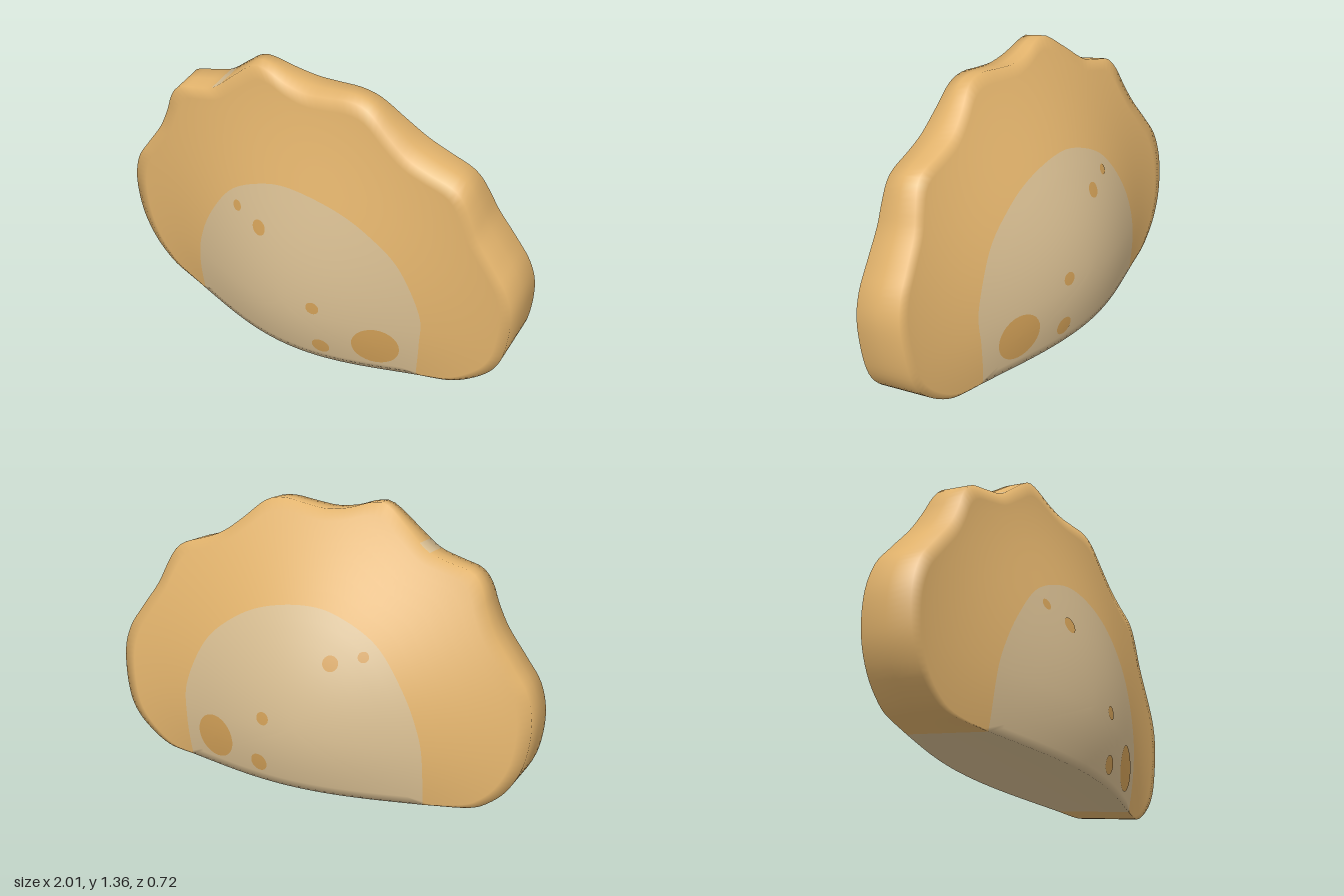
import * as THREE from 'three';
import { mergeVertices } from 'three/addons/utils/BufferGeometryUtils.js';

const mat = (name, color) => Object.assign(new THREE.MeshStandardMaterial({ color }), { name });
const BASE = 0.05, BASE_RIGHT = 0.6, BASE_LEFT = -0.56;

// Mid surface and half thickness of the body: thin rim plus a soft belly
const midZ = (y) => -0.026 - 0.162 * y + 0.069 * y * y;
function halfDepth(x, y) {
  const dy = (y - 0.32) / (y > 0.32 ? 1.22 : 1);
  const d = Math.min(1, Math.hypot(x / 1.05, dy));
  return 0.12 + 0.03 * y - 0.07 * y * y + 0.235 * 0.5 * (1 + Math.cos(Math.PI * d));
}
const surface = (x, y, side, lift = 0) =>
  new THREE.Vector3(x, y, midZ(y) + side * (halfDepth(x, y) + lift));

const spline = (pts) => new THREE.SplineCurve(pts.map(([x, y]) => new THREE.Vector2(x, y)));

// Crimped outline, from the right of the base over the top to the left
const outline = spline([
  [BASE_RIGHT, BASE], [0.75, 0.055], [0.87, 0.12], [0.95, 0.21], [0.985, 0.33], [0.995, 0.5],
  [0.965, 0.62], [0.9, 0.725], [0.82, 0.845], [0.78, 0.935], [0.74, 1.015], [0.69, 1.057],
  [0.58, 1.095], [0.49, 1.135], [0.4, 1.205], [0.3, 1.293], [0.21, 1.314], [0.1, 1.3],
  [0, 1.29], [-0.1, 1.305], [-0.2, 1.338], [-0.27, 1.334], [-0.37, 1.255], [-0.48, 1.165],
  [-0.58, 1.13], [-0.68, 1.1], [-0.73, 1.04], [-0.76, 0.955], [-0.81, 0.85],
  [-0.9, 0.725], [-0.97, 0.62], [-1, 0.48], [-0.98, 0.31], [-0.92, 0.18], [-0.84, 0.1],
  [-0.75, 0.06], [BASE_LEFT, BASE],
]);

// Edge of the pale belly
const bellyEdge = spline([
  [BASE_RIGHT, BASE], [0.615, 0.25], [0.61, 0.42], [0.51, 0.64], [0.37, 0.77], [0.21, 0.85],
  [0.01, 0.885], [-0.15, 0.86], [-0.33, 0.76], [-0.46, 0.58], [-0.535, 0.4],
  [-0.56, 0.25], [BASE_LEFT, BASE],
]);

function bodyGeometry() {
  const UPPER = 140, LOWER = 28, BAND = 2;
  const outer = outline.getSpacedPoints(UPPER);
  const inner = bellyEdge.getSpacedPoints(UPPER);
  for (let i = 1; i <= LOWER; i++) {
    const p = new THREE.Vector2(THREE.MathUtils.lerp(BASE_LEFT, BASE_RIGHT, i / LOWER), BASE);
    outer.push(p);
    inner.push(p);
  }
  const centre = new THREE.Vector2(0, 0.35);
  const faces = { dough: [], belly: [] };
  const quad = (list, a, b, c, d) => {
    for (const v of [a, b, c, a, c, d]) list.push(v.x, v.y, v.z);
  };
  const bellyRings = [0, 0.1, 0.2, 0.3, 0.4, 0.5, 0.6, 0.7, 0.8, 0.88, 1];
  const doughRings = [0, 0.15, 0.3, 0.45, 0.6, 0.75, 0.87, 1];

  // One side of the body between two boundary curves
  function sheet(list, from, to, rings, j, side) {
    for (let k = 0; k < rings.length - 1; k++) {
      const at = (col, s) => {
        const p = from(col).clone().lerp(to[col], s);
        return surface(p.x, p.y, side);
      };
      const q = [at(j, rings[k]), at(j, rings[k + 1]), at(j + 1, rings[k + 1]), at(j + 1, rings[k])];
      quad(list, ...(side > 0 ? q : q.reverse()));
    }
  }

  for (let j = 0; j < UPPER + LOWER; j++) {
    for (const side of [1, -1]) {
      sheet(faces.belly, () => centre, inner, bellyRings, j, side);
      if (j < UPPER) sheet(faces.dough, (c) => inner[c], outer, doughRings, j, side);
    }
    // Rim and underside joining front to back, with a small pale fleck in one crimp
    const a = outer[j], b = outer[j + 1];
    for (let k = 0; k < BAND; k++) {
      const at = (p, n) => surface(p.x, p.y, 1).lerp(surface(p.x, p.y, -1), n / BAND);
      const fleck = a.y > 1 && Math.abs((a.x + b.x) / 2 + 0.465) < 0.017;
      quad(j >= UPPER || fleck ? faces.belly : faces.dough,
        at(a, k), at(a, k + 1), at(b, k + 1), at(b, k));
    }
  }

  const g = new THREE.BufferGeometry();
  g.setAttribute('position',
    new THREE.Float32BufferAttribute(faces.dough.concat(faces.belly), 3));
  g.addGroup(0, faces.dough.length / 3, 0);
  g.addGroup(faces.dough.length / 3, faces.belly.length / 3, 1);
  const merged = mergeVertices(g, 1e-5);
  merged.computeVertexNormals();
  return merged;
}

// Thin round patch that follows the body surface
function spotGeometry(cx, cy, r, side) {
  const g = new THREE.RingGeometry(0.0001, r, 28, 5);
  const p = g.attributes.position;
  for (let i = 0; i < p.count; i++) {
    const v = surface(cx + side * p.getX(i), cy + p.getY(i), side, 0.003);
    p.setXYZ(i, v.x, v.y, v.z);
  }
  g.computeVertexNormals();
  return g;
}

export function createModel() {
  const dough = mat('golden dough', 0xe2b36c);
  const belly = mat('pale filling', 0xd7bd91);
  const toasted = mat('toasted spot', 0xd3a158);

  const model = new THREE.Group();
  model.name = 'dumpling';
  const tilted = new THREE.Group();
  tilted.name = 'tiltedDumpling';
  tilted.rotation.set(0.175, -0.097, 0);
  model.add(tilted);

  const body = new THREE.Mesh(bodyGeometry(), [dough, belly]);
  body.name = 'body';
  tilted.add(body);

  // Toasted spots on both sides
  const spots = [
    [0.43, 0.205, 0.104], [0.18, 0.143, 0.042], [0.15, 0.368, 0.031],
    [-0.285, 0.708, 0.024], [-0.148, 0.665, 0.035],
  ];
  for (const side of [1, -1]) {
    for (const [x, y, r] of spots) {
      const spot = new THREE.Mesh(spotGeometry(x, y, r, side), toasted);
      spot.name = side > 0 ? 'frontSpot' : 'backSpot';
      tilted.add(spot);
    }
  }

  // Rest on the ground, centred
  model.updateMatrixWorld(true);
  const box = new THREE.Box3().setFromObject(model, true);
  const c = box.getCenter(new THREE.Vector3());
  tilted.position.set(-c.x, -box.min.y, -c.z);
  return model;
}
